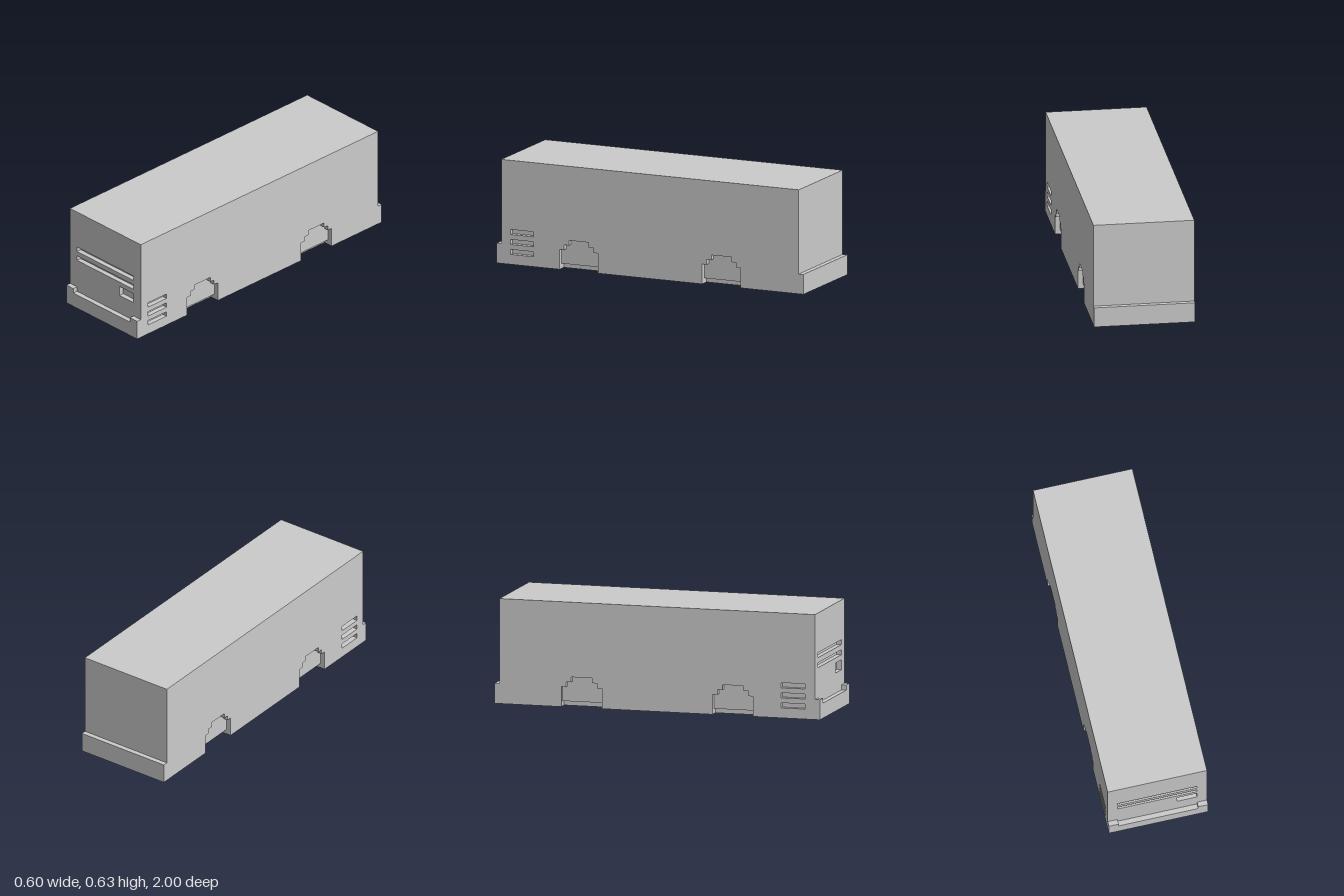
import * as THREE from 'three';

const W = 0.3, H = 0.627, END = 0.97, T = 0.03; // half width, height, half body length, panel thickness
const ARCH_IN = 0.34, ARCH_OUT = 0.59;

const material = new THREE.MeshStandardMaterial({ color: 0xcccccc, flatShading: true });

function polygon(points) {
  return new THREE.Shape(points.map(([a, b]) => new THREE.Vector2(a, b)));
}

function rectHole(x0, x1, y0, y1) {
  return polygon([[x0, y0], [x0, y1], [x1, y1], [x1, y0]]);
}

function extrude(shape, depth) {
  return new THREE.ExtrudeGeometry(shape, { depth, bevelEnabled: false });
}

export function createModel() {
  const group = new THREE.Group();

  function add(name, geometry) {
    const mesh = new THREE.Mesh(geometry, material);
    mesh.name = name;
    group.add(mesh);
  }

  function addBox(name, x0, x1, y0, y1, z0, z1) {
    const g = new THREE.BoxGeometry(x1 - x0, y1 - y0, z1 - z0);
    add(name, g.translate((x0 + x1) / 2, (y0 + y1) / 2, (z0 + z1) / 2));
  }

  // Inner body: forms the back of every recess
  const core = W - T;
  addBox('bodyCore', -core, core, T, H, -END, END - T);

  // Floor slab, notched below each wheel arch
  const notch = core - T;
  const floorSide = [
    [core, -END + T], [core, -ARCH_OUT], [notch, -ARCH_OUT], [notch, -ARCH_IN], [core, -ARCH_IN],
    [core, ARCH_IN], [notch, ARCH_IN], [notch, ARCH_OUT], [core, ARCH_OUT], [core, END],
  ];
  const otherSide = floorSide.map(([x, y]) => [-x, y]).reverse();
  add('floor', extrude(polygon([...floorSide, ...otherSide]), T).rotateX(-Math.PI / 2));

  // Side panels with stepped wheel arches and three vents near the front
  const archHalf = (ARCH_OUT - ARCH_IN) / 2;
  const outline = [[-END, 0]];
  for (const c of [-(ARCH_IN + ARCH_OUT) / 2, (ARCH_IN + ARCH_OUT) / 2]) {
    const left = [[archHalf, 0]];
    for (let i = 0; i < 3; i++) {
      const w = archHalf - i * T, y = 0.12 + i * T;
      left.push([w, y]);
      if (i < 2) left.push([w - T, y]);
    }
    outline.push(...left.map(([w, y]) => [c - w, y]));
    outline.push(...left.reverse().map(([w, y]) => [c + w, y]));
  }
  outline.push([END, 0], [END, H], [-END, H]);
  const side = polygon(outline);
  for (const y of [0.06, 0.12, 0.18]) side.holes.push(rectHole(0.76, 0.91, y, y + T));
  const sideGeometry = extrude(side, T).rotateY(-Math.PI / 2);
  add('leftSidePanel', sideGeometry.clone().translate(W, 0, 0));
  add('rightSidePanel', sideGeometry.clone().translate(-core, 0, 0));

  // Front panel with two long slots and a small rectangular recess
  const front = polygon([[-core, 0], [core, 0], [core, H], [-core, H]]);
  front.holes.push(
    rectHole(-0.24, 0.24, 0.36, 0.39),
    rectHole(-0.24, 0.24, 0.3, 0.33),
    rectHole(0.12, 0.24, 0.21, 0.27),
  );
  add('frontPanel', extrude(front, T).translate(0, 0, END - T));

  // Bumpers: the front one has a lowered middle
  const bumper = polygon([
    [-W, 0], [W, 0], [W, 0.12], [0.24, 0.12], [0.24, 0.09], [-0.24, 0.09], [-0.24, 0.12], [-W, 0.12],
  ]);
  add('frontBumper', extrude(bumper, T).translate(0, 0, END));
  addBox('rearBumper', -W, W, 0, 0.12, -END - T, -END);

  return group;
}
